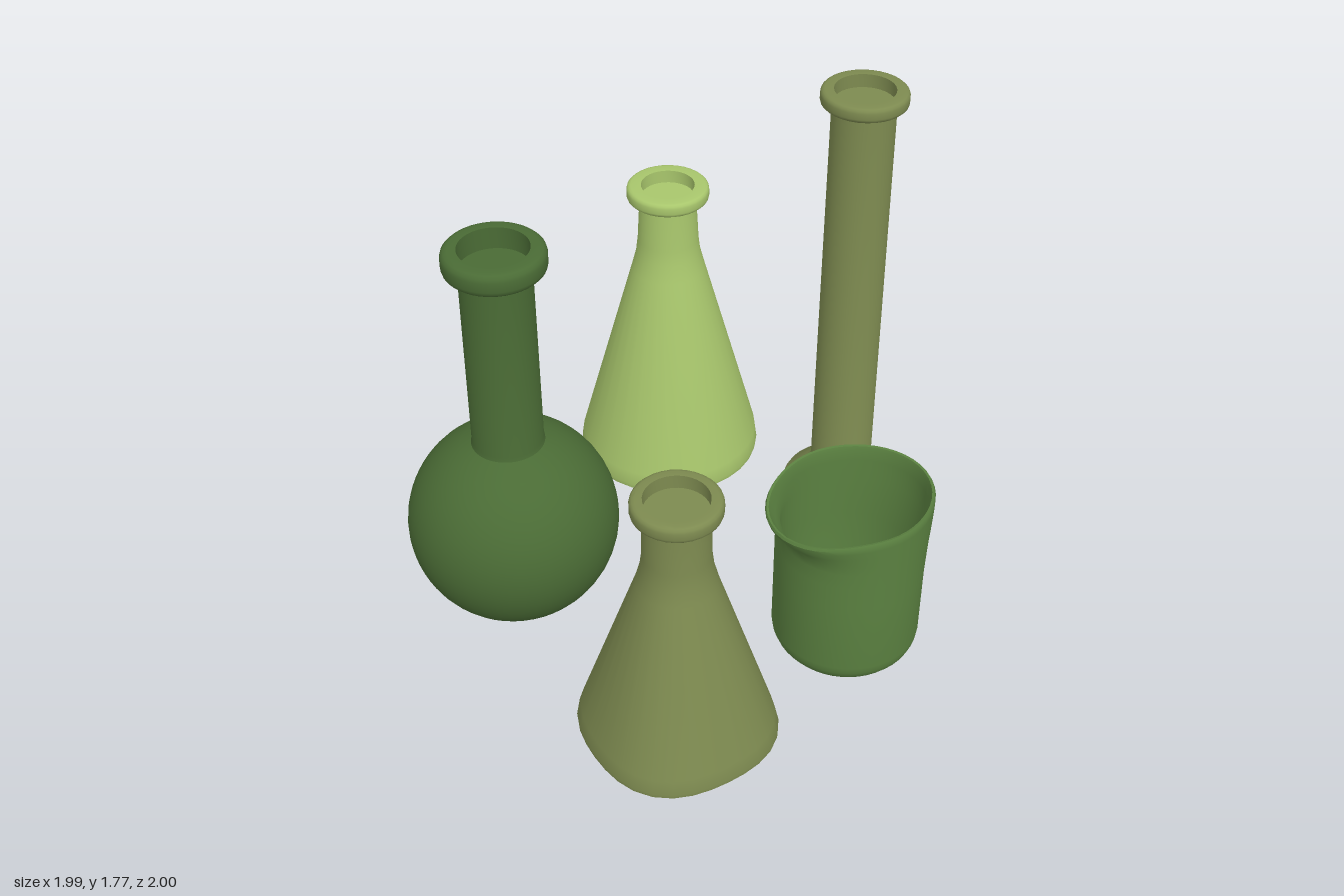
import * as THREE from 'three';
import { toCreasedNormals } from 'three/addons/utils/BufferGeometryUtils.js';

// Points on a circular arc, for rounded profile corners (angles in degrees)
function arc(cx, cy, r, from, to, n) {
  return Array.from({ length: n + 1 }, (_, i) => {
    const a = THREE.MathUtils.degToRad(from + ((to - from) * i) / n);
    return [cx + r * Math.cos(a), cy + r * Math.sin(a)];
  });
}

// Rounded collar with a recessed mouth, from its underside to the axis
function collar(r, y0, y1, mouth, depth) {
  const b = (y1 - y0) * 0.3;
  return [
    ...arc(r - b, y0 + b, b, -90, 0, 3),
    ...arc(r - b, y1 - b, b, 0, 90, 3),
    [mouth, y1], [mouth, y1 - depth], [0, y1 - depth],
  ];
}

// Turned vessel; an optional rule moves the vertices before shading
function vessel(name, profile, color, x, z, segments = 32, rule = null) {
  const pts = profile.map(([r, y]) => new THREE.Vector2(Math.max(r, 0), y));
  const geo = new THREE.LatheGeometry(pts, segments);
  if (rule) {
    const p = geo.attributes.position;
    const v = new THREE.Vector3();
    for (let i = 0; i < p.count; i++) {
      rule(v.fromBufferAttribute(p, i));
      p.setXYZ(i, v.x, v.y, v.z);
    }
  }
  const mesh = new THREE.Mesh(
    toCreasedNormals(geo, 0.6),
    new THREE.MeshStandardMaterial({ color, side: THREE.DoubleSide })
  );
  mesh.name = name;
  mesh.position.set(x, 0, z);
  return mesh;
}

export function createModel() {
  const group = new THREE.Group();
  group.name = 'labGlassware';

  // Round flask: ball, straight neck and heavy collar
  group.add(vessel('roundFlask', [
    ...arc(0, 0.415, 0.376, -90, 70, 24),
    [0.125, 0.785], [0.123, 1.47],
    ...collar(0.174, 1.47, 1.555, 0.12, 0.08),
  ], 0x4a6b35, -0.62, -0.17, 48));

  // Large conical flask
  group.add(vessel('largeConicalFlask', [
    [0, 0.04], [0.335, 0.045], [0.352, 0.055], [0.356, 0.075], [0.348, 0.13],
    [0.14, 0.90], [0.122, 0.97], [0.115, 1.03], [0.106, 1.2],
    ...collar(0.154, 1.2, 1.255, 0.1, 0.05),
  ], 0xa8c66c, 0.315, -0.645));

  // Small conical flask, its lower body swelling towards a rounded square
  group.add(vessel('smallConicalFlask', [
    [0, 0.035], [0.31, 0.038], [0.324, 0.046], [0.325, 0.06], [0.312, 0.11],
    [0.135, 0.70], [0.12, 0.76], [0.113, 0.82], [0.111, 0.985],
    ...collar(0.15, 0.985, 1.045, 0.108, 0.05),
  ], 0x7d8a50, -0.45, 0.675, 32, (v) => {
    const s = Math.sin(2 * Math.atan2(v.z, v.x));
    const k = 1 + 0.07 * s * s * THREE.MathUtils.clamp((0.8 - v.y) / 0.7, 0, 1);
    v.x *= k;
    v.z *= k;
  }));

  // Measuring cylinder: flared foot, tall tube and collar
  group.add(vessel('measuringCylinder', [
    [0, 0], [0.19, 0.008], [0.218, 0.016], [0.225, 0.028], [0.217, 0.045],
    [0.15, 0.1], [0.125, 0.125], [0.118, 0.16], [0.114, 1.72],
    ...collar(0.155, 1.72, 1.775, 0.108, 0.05),
  ], 0x7d8a50, 0.77, -0.085));

  // Beaker: hollow, with a drooping spout at -x and a slight flare at +x
  group.add(vessel('beaker', [
    [0, 0.02], ...arc(0.162, 0.12, 0.1, -90, 0, 6),
    [0.262, 0.4], [0.262, 0.5], [0.262, 0.56], [0.262, 0.6], [0.262, 0.64],
    [0.262, 0.67], [0.262, 0.69], [0.257, 0.7], [0.249, 0.698], [0.245, 0.685],
    [0.244, 0.64], [0.244, 0.6], [0.244, 0.56], [0.244, 0.4],
    ...arc(0.164, 0.13, 0.08, 0, -90, 5), [0, 0.05],
  ], 0x5a8040, 0.281, 0.627, 48, (v) => {
    const r = Math.hypot(v.x, v.z);
    if (r < 0.2 || v.y < 0.35) return;
    const c = v.x / r;
    const spout = Math.max(0, -c) ** 3 * THREE.MathUtils.smoothstep(v.y, 0.57, 0.7);
    const flare = Math.max(0, c) ** 3 * THREE.MathUtils.smoothstep(v.y, 0.35, 0.7);
    const k = 1 + (0.057 * spout + 0.028 * flare) / r;
    v.x *= k;
    v.z *= k;
    v.y -= 0.025 * spout;
  }));

  return group;
}
